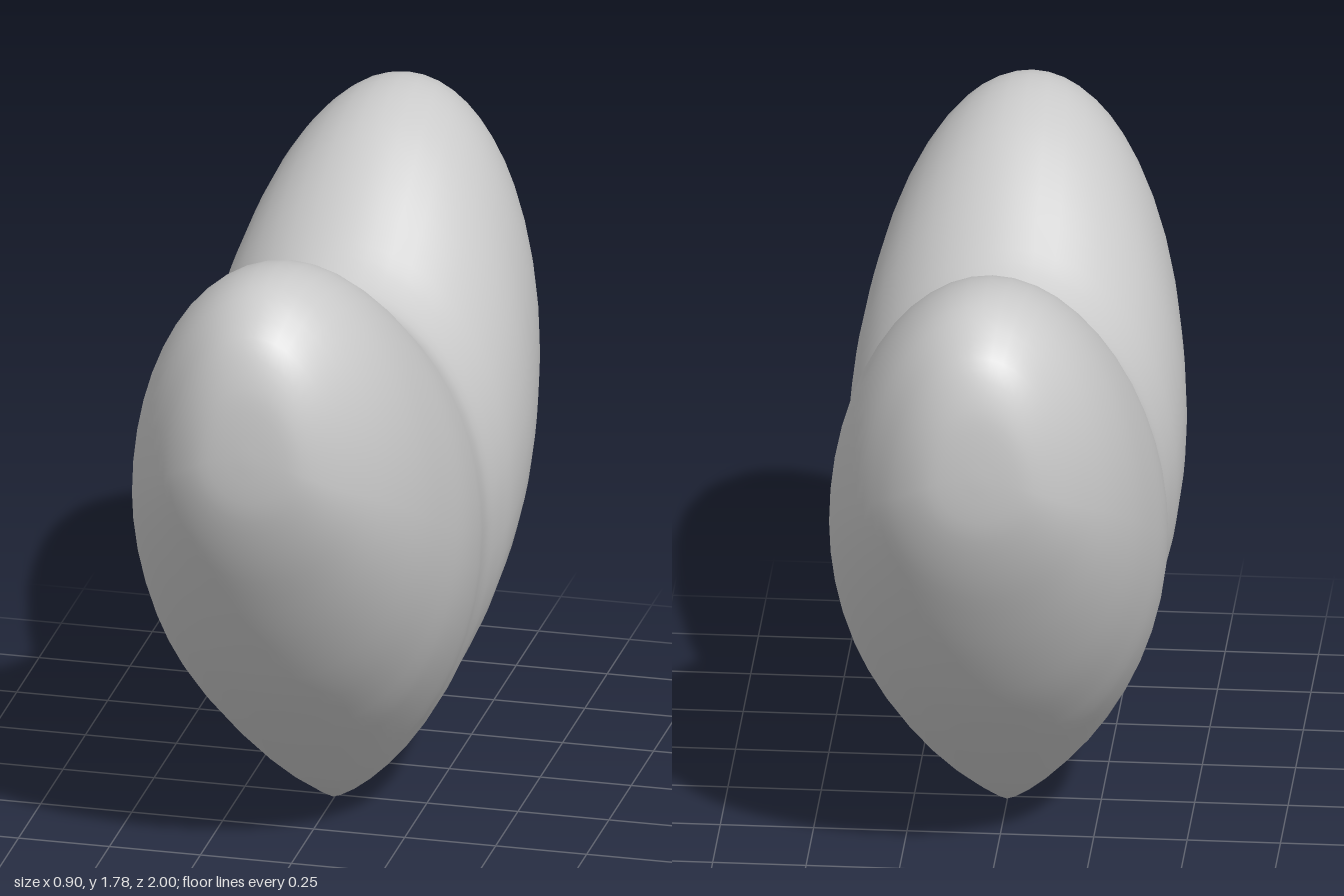
import * as THREE from 'three';
import { mergeVertices } from 'three/addons/utils/BufferGeometryUtils.js';

// Stations from the middle of the heart outward: [z, bottom y, widest y, top y, half width]
const STATIONS = [
  [0, 0, 0.82, 1.455, 0.42],
  [0.1, 0.045, 0.85, 1.485, 0.43],
  [0.2, 0.11, 0.88, 1.55, 0.445],
  [0.35, 0.24, 0.94, 1.655, 0.45],
  [0.5, 0.385, 1.01, 1.74, 0.433],
  [0.65, 0.55, 1.1, 1.78, 0.4],
  [0.78, 0.74, 1.18, 1.775, 0.345],
  [0.88, 0.92, 1.24, 1.72, 0.275],
  [0.94, 1.05, 1.28, 1.66, 0.215],
  [0.98, 1.17, 1.32, 1.56, 0.15],
  [0.995, 1.26, 1.35, 1.46, 0.085],
  [1, 1.355, 1.355, 1.355, 0],
];

// Smooth curve through one column of the mirrored stations
function columnCurve(column) {
  const outer = STATIONS.slice(1);
  const all = [
    ...outer.map((s) => (column === 0 ? -s[0] : s[column])).reverse(),
    ...STATIONS.map((s) => s[column]),
  ];
  return new THREE.CatmullRomCurve3(
    all.map((v) => new THREE.Vector3(v, 0, 0)), false, 'catmullrom', 0.5);
}

// Puffy heart lofted from egg-shaped sections along z
function heartGeometry(rows, sides) {
  const curves = [0, 1, 2, 3, 4].map(columnCurve);
  const positions = [];
  const index = [];
  for (let i = 0; i <= rows; i++) {
    const [z, bottom, middle, top, width] = curves.map((c) => c.getPoint(i / rows).x);
    // The lower edge is sharper near the middle
    const sharp = 1 + 0.5 * Math.max(0, 1 - Math.abs(z) / 0.45);
    for (let j = 0; j < sides; j++) {
      const a = (j / sides) * Math.PI * 2;
      const s = Math.sin(a);
      const c = -Math.cos(a);
      const spread = c < 0 ? Math.pow(Math.abs(s), sharp) : Math.abs(s);
      positions.push(
        Math.sign(s) * spread * width,
        middle + c * (c < 0 ? middle - bottom : top - middle),
        z);
    }
  }
  for (let i = 0; i < rows; i++) {
    for (let j = 0; j < sides; j++) {
      const k = (j + 1) % sides;
      const a = i * sides + j, b = i * sides + k;
      if (i > 0) index.push(a, b, a + sides);
      if (i < rows - 1) index.push(b, b + sides, a + sides);
    }
  }
  const geometry = new THREE.BufferGeometry();
  geometry.setAttribute('position', new THREE.Float32BufferAttribute(positions, 3));
  geometry.setIndex(index);
  const merged = mergeVertices(geometry, 1e-5);
  merged.computeVertexNormals();
  return merged;
}

export function createModel() {
  const group = new THREE.Group();
  group.name = 'heart';
  const material = new THREE.MeshStandardMaterial({ color: 0xcccccc });
  const body = new THREE.Mesh(heartGeometry(66, 48), material);
  body.name = 'heartBody';
  group.add(body);
  return group;
}
